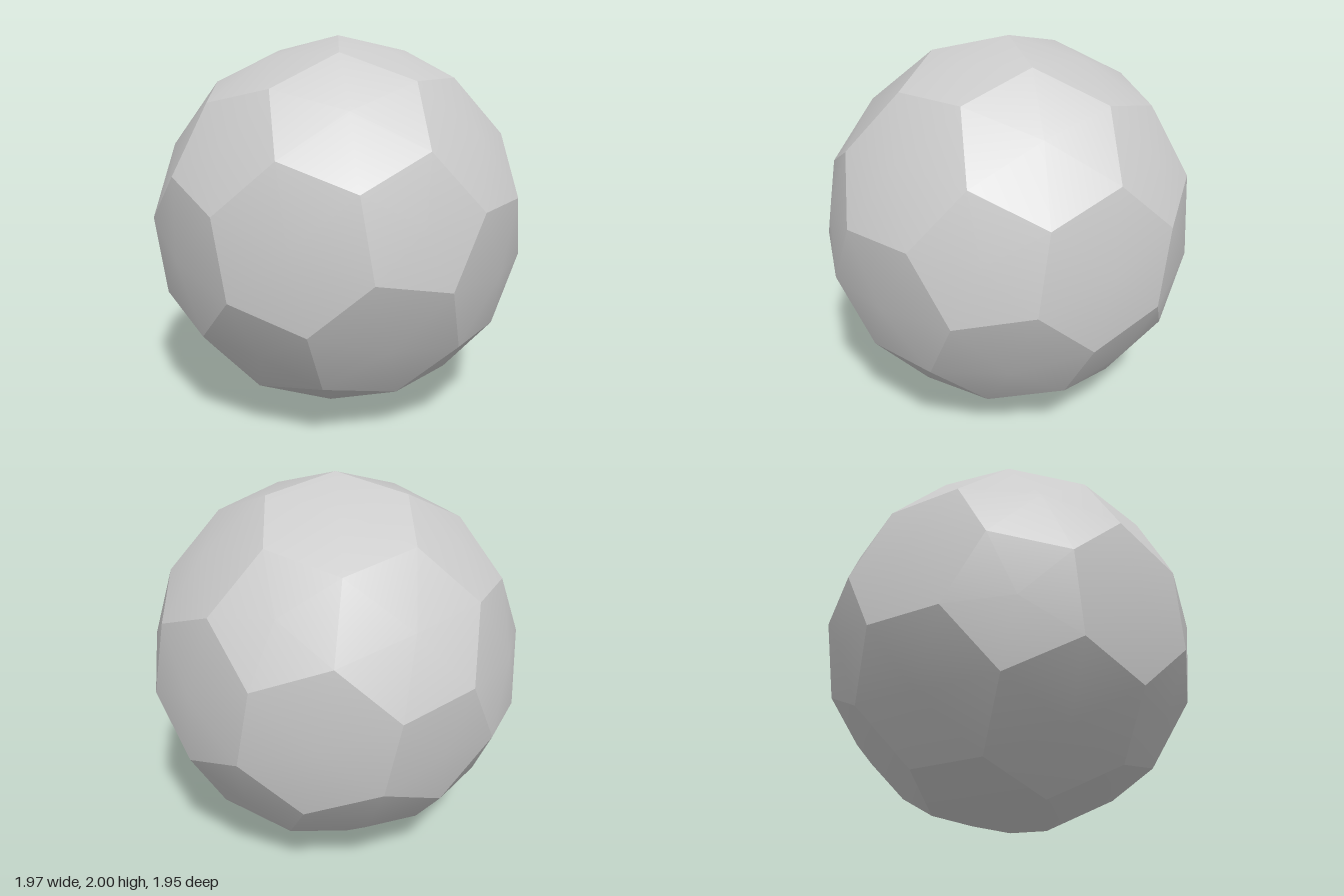
import * as THREE from 'three';

// Distance of each panel's raised middle from the ball's centre (corners are at 1)
const DOME = 0.977;

// Corners of an icosahedron: cyclic permutations of (0, ±1, ±phi)
function icosahedronCorners() {
  const phi = (1 + Math.sqrt(5)) / 2, corners = [];
  for (const a of [-1, 1]) for (const b of [-phi, phi]) {
    corners.push(new THREE.Vector3(0, a, b), new THREE.Vector3(a, b, 0), new THREE.Vector3(b, 0, a));
  }
  return corners;
}

// One slightly domed panel per direction: a rim of corners around a raised middle.
// Vertices are shared inside a panel only, so seams between panels stay sharp.
function panelGeometry(directions, points) {
  const positions = [], index = [];
  for (const direction of directions) {
    const n = direction.clone().normalize();
    const reach = Math.max(...points.map((p) => p.dot(n)));
    const rim = points.filter((p) => p.dot(n) > reach - 1e-4);
    const u = rim[0].clone().addScaledVector(n, -reach).normalize();
    const v = n.clone().cross(u);
    const angle = (p) => Math.atan2(p.dot(v), p.dot(u));
    rim.sort((p, q) => angle(p) - angle(q));
    const start = positions.length / 3;
    for (const p of [n.multiplyScalar(DOME), ...rim]) positions.push(p.x, p.y, p.z);
    rim.forEach((_, i) => index.push(start, start + 1 + i, start + 1 + (i + 1) % rim.length));
  }
  const geometry = new THREE.BufferGeometry();
  geometry.setAttribute('position', new THREE.Float32BufferAttribute(positions, 3));
  geometry.setIndex(index);
  geometry.computeVertexNormals();
  return geometry;
}

export function createModel() {
  const group = new THREE.Group();
  group.name = 'panelledBall';
  const corners = icosahedronCorners();
  const adjacent = (a, b) => Math.abs(a.distanceTo(b) - 2) < 1e-4;
  const cut = (a, b) => a.clone().multiplyScalar(2).add(b).divideScalar(3);

  // Cut every edge at its thirds, and find the middle of every triangle
  const points = [], middles = [];
  corners.forEach((a, i) => corners.forEach((b, j) => {
    if (!adjacent(a, b)) return;
    points.push(cut(a, b));
    corners.forEach((c, k) => {
      if (i < j && j < k && adjacent(b, c) && adjacent(a, c)) middles.push(a.clone().add(b).add(c));
    });
  }));

  // Stand the ball on one corner: a pentagon edge leaves the top towards +x,
  // with that pentagon lying on the front side
  const a = corners[0];
  const b = corners.find((p) => adjacent(a, p));
  const c = corners.find((p) => adjacent(a, p) && adjacent(b, p) && a.dot(p.clone().cross(b)) > 0);
  const radius = points[0].length();
  const y = cut(a, b).normalize();
  const side = cut(a, c);
  const x = side.addScaledVector(y, -side.dot(y)).normalize();
  const z = x.clone().cross(y);
  const turn = new THREE.Matrix4().makeBasis(x, y, z).transpose();
  for (const p of [...corners, ...middles, ...points]) p.applyMatrix4(turn).divideScalar(radius);

  // Twelve pentagons and twenty hexagons
  const material = new THREE.MeshStandardMaterial({ color: 0xcccccc });
  for (const [name, directions] of [['pentagonPanels', corners], ['hexagonPanels', middles]]) {
    const mesh = new THREE.Mesh(panelGeometry(directions, points), material);
    mesh.name = name;
    mesh.position.y = 1;
    group.add(mesh);
  }
  return group;
}
